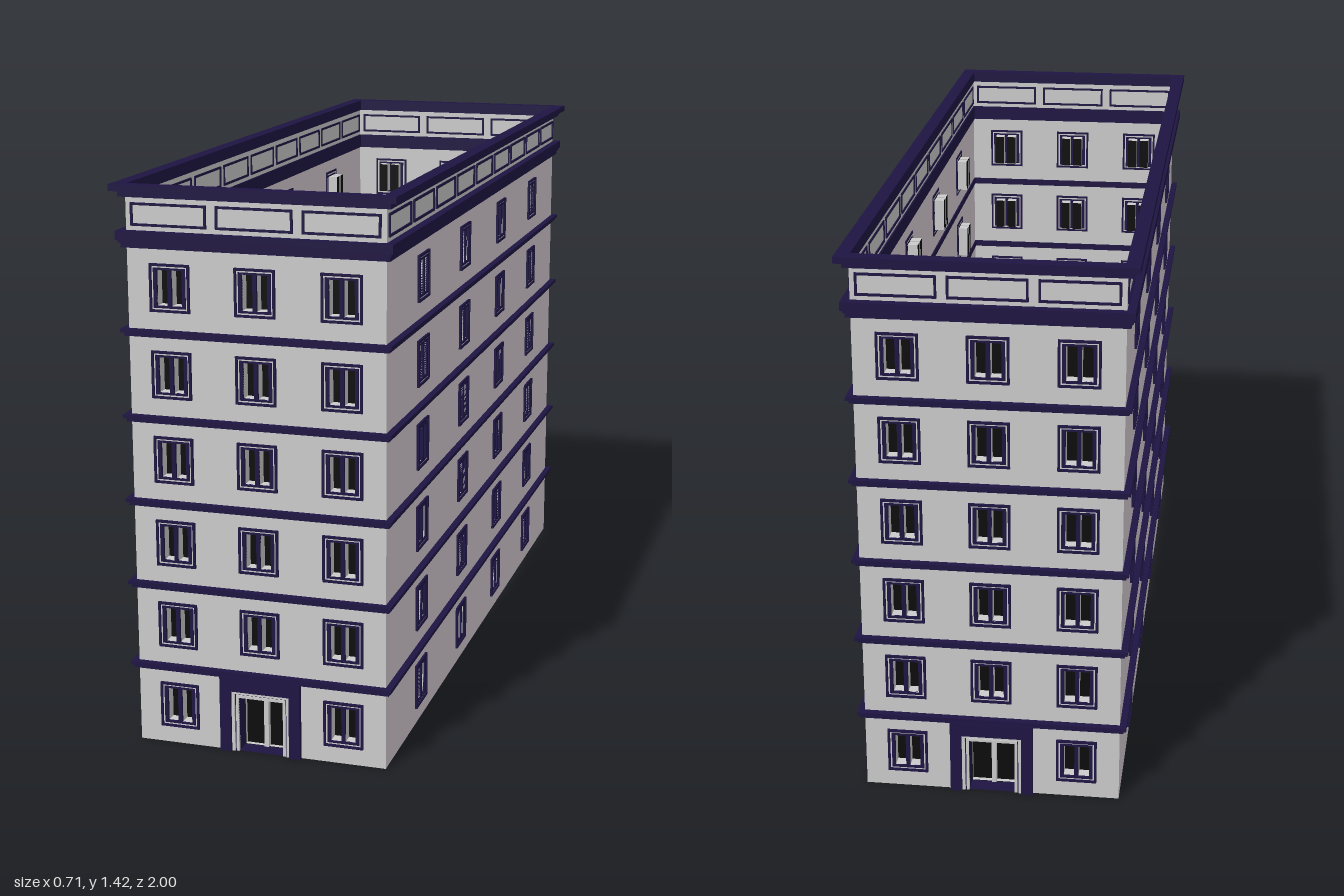
import * as THREE from 'three';

const W = 0.323, D = 0.969;            // half width and half depth of the walls
const STOREY = 0.214, FLOORS = 6;
const PARAPET = 1.29, TOP = 1.4;

const mat = (color) => new THREE.MeshStandardMaterial({ color, side: THREE.DoubleSide });
const grey = mat(0xcccccc), rose = mat(0xd8ced6), navy = mat(0x1e1542), black = mat(0x0c0c0c);

function add(parent, name, geometry, material, x = 0, y = 0, z = 0) {
  const mesh = new THREE.Mesh(geometry, material);
  mesh.name = name;
  mesh.position.set(x, y, z);
  parent.add(mesh);
  return mesh;
}

// Rectangle outline, used for shapes and holes
function rect(x0, y0, x1, y1, Type = THREE.Shape) {
  const r = new Type();
  r.moveTo(x0, y0);
  r.lineTo(x1, y0);
  r.lineTo(x1, y1);
  r.lineTo(x0, y1);
  r.closePath();
  return r;
}

const extrude = (shape, z0, z1) =>
  new THREE.ExtrudeGeometry(shape, { depth: z1 - z0, bevelEnabled: false }).translate(0, 0, z0);

// Rectangular ring given by outer and inner half sizes
function ring(w, h, iw, ih, z0, z1) {
  const s = rect(-w, -h, w, h);
  s.holes.push(rect(-iw, -ih, iw, ih, THREE.Path));
  return extrude(s, z0, z1);
}

// Door frame: an upside-down U standing on the ground
function portal(w, h, iw, ih, z0, z1) {
  const pts = [[-w, 0], [-iw, 0], [-iw, ih], [iw, ih], [iw, 0], [w, 0], [w, h], [-w, h]];
  return extrude(new THREE.Shape(pts.map(([x, y]) => new THREE.Vector2(x, y))), z0, z1);
}

// Four sides of a box, open at front and back
function tube(w, h, d) {
  const g = new THREE.BoxGeometry(w, h, d);
  g.setIndex(Array.from(g.index.array.slice(0, 24)));
  g.clearGroups();
  return g;
}

// Window parts shared by every window
const WIN_W = 0.051, WIN_H = 0.059, PANE_X = 0.0185, PANE_W = 0.027, PANE_H = 0.088, RECESS = 0.03;
const outerFrame = ring(WIN_W, WIN_H, 0.045, 0.053, -0.003, 0.006);
const middleFrame = ring(0.045, 0.053, 0.041, 0.049, -0.003, 0.002);
const sashShape = rect(-0.041, -0.049, 0.041, 0.049);
for (const s of [-1, 1]) {
  const c = s * PANE_X;
  sashShape.holes.push(rect(c - PANE_W / 2, -PANE_H / 2, c + PANE_W / 2, PANE_H / 2, THREE.Path));
}
const sash = extrude(sashShape, -0.003, 0.004);
const reveal = tube(PANE_W, PANE_H, RECESS);
const pane = new THREE.PlaneGeometry(PANE_W, PANE_H);
const panelFrame = ring(0.096, 0.028, 0.09, 0.022, -0.003, 0.004);

function makeWindow() {
  const g = new THREE.Group();
  g.name = 'window';
  add(g, 'windowOuterFrame', outerFrame, navy);
  add(g, 'windowMiddleFrame', middleFrame, grey);
  add(g, 'windowSash', sash, navy);
  for (const s of [-1, 1]) {
    add(g, 'windowReveal', reveal, grey, s * PANE_X, 0, -RECESS / 2);
    add(g, 'windowPane', pane, black, s * PANE_X, 0, -RECESS);
  }
  return g;
}

// Entrance with surround, stepped frame, deep niche and two glass leaves
function makeDoor() {
  const g = new THREE.Group();
  g.name = 'door';
  add(g, 'doorSurround', portal(0.105, 0.198, 0.076, 0.161, -0.003, 0.012), navy);
  add(g, 'doorOuterFrame', portal(0.076, 0.161, 0.068, 0.153, -0.004, 0.006), grey);
  add(g, 'doorFrameGroove', portal(0.068, 0.153, 0.065, 0.15, -0.004, 0.001), navy);
  add(g, 'doorInnerFrame', portal(0.065, 0.15, 0.058, 0.143, -0.004, 0.004), grey);
  add(g, 'doorNiche', tube(0.116, 0.143, 0.042), navy, 0, 0.0715, -0.021);
  add(g, 'doorMullion', new THREE.BoxGeometry(0.012, 0.143, 0.008), grey, 0, 0.0715, -0.042);
  for (const s of [-1, 1]) {
    add(g, 'doorLeafReveal', tube(0.05, 0.141, 0.012), grey, s * 0.031, 0.0715, -0.048);
    add(g, 'doorGlass', new THREE.PlaneGeometry(0.052, 0.143), black, s * 0.031, 0.0715, -0.053);
  }
  return g;
}

// One side of the building, facing +z
function makeWall(name, half, columns, panels, material, hasDoor) {
  const g = new THREE.Group();
  g.name = name;
  const shape = hasDoor
    ? new THREE.Shape([[-half, 0], [-0.076, 0], [-0.076, 0.161], [0.076, 0.161], [0.076, 0],
      [half, 0], [half, PARAPET], [-half, PARAPET]].map(([x, y]) => new THREE.Vector2(x, y)))
    : rect(-half, 0, half, PARAPET);
  for (let f = 0; f < FLOORS; f++) {
    for (const x of columns) {
      if (hasDoor && f === 0 && x === 0) continue;
      const y = 0.103 + f * STOREY;
      shape.holes.push(rect(x - WIN_W, y - WIN_H, x + WIN_W, y + WIN_H, THREE.Path));
      const w = makeWindow();
      w.position.set(x, y, 0);
      g.add(w);
    }
  }
  add(g, 'wallSurface', new THREE.ShapeGeometry(shape), material);
  if (hasDoor) g.add(makeDoor());

  // Parapet with framed panels
  add(g, 'parapet', new THREE.PlaneGeometry(half * 2, TOP - PARAPET), grey, 0, (PARAPET + TOP) / 2);
  for (let i = 0; i < panels; i++) {
    add(g, 'parapetPanelFrame', panelFrame, navy, (i - (panels - 1) / 2) * 0.2147, 1.348, 0);
  }
  return g;
}

// Horizontal moulding running round the building
function addMoulding(parent, name, overhang, y0, y1) {
  const geo = ring(W + overhang, D + overhang, W - 0.004, D - 0.004, y0, y1);
  geo.rotateX(-Math.PI / 2);
  add(parent, name, geo, navy);
}

export function createModel() {
  const model = new THREE.Group();
  model.name = 'building';

  // Matching short ends with doors, matching long sides
  for (const s of [1, -1]) {
    const end = makeWall(s > 0 ? 'frontWall' : 'backWall', W, [-0.215, 0, 0.215], 3, grey, true);
    end.position.z = s * D;
    end.rotation.y = s > 0 ? 0 : Math.PI;
    const side = makeWall(s > 0 ? 'leftWall' : 'rightWall', D, [-0.645, -0.215, 0.215, 0.645], 9, rose, false);
    side.position.x = s * W;
    side.rotation.y = s * Math.PI / 2;
    model.add(end, side);
  }

  // Stepped bands between storeys
  for (let k = 0; k < FLOORS - 1; k++) {
    const y = 0.196 + k * STOREY;
    addMoulding(model, 'storeyBandLower', 0.01, y, y + 0.009);
    addMoulding(model, 'storeyBandUpper', 0.017, y + 0.009, y + 0.018);
  }

  // Lower and upper cornices
  addMoulding(model, 'lowerCorniceFoot', 0.011, 1.268, 1.28);
  addMoulding(model, 'lowerCorniceStep', 0.016, 1.28, 1.287);
  addMoulding(model, 'lowerCorniceCap', 0.021, 1.287, 1.309);
  addMoulding(model, 'upperCorniceFoot', 0.014, 1.39, 1.405);
  addMoulding(model, 'upperCorniceCap', 0.031, 1.405, 1.421);
  return model;
}
